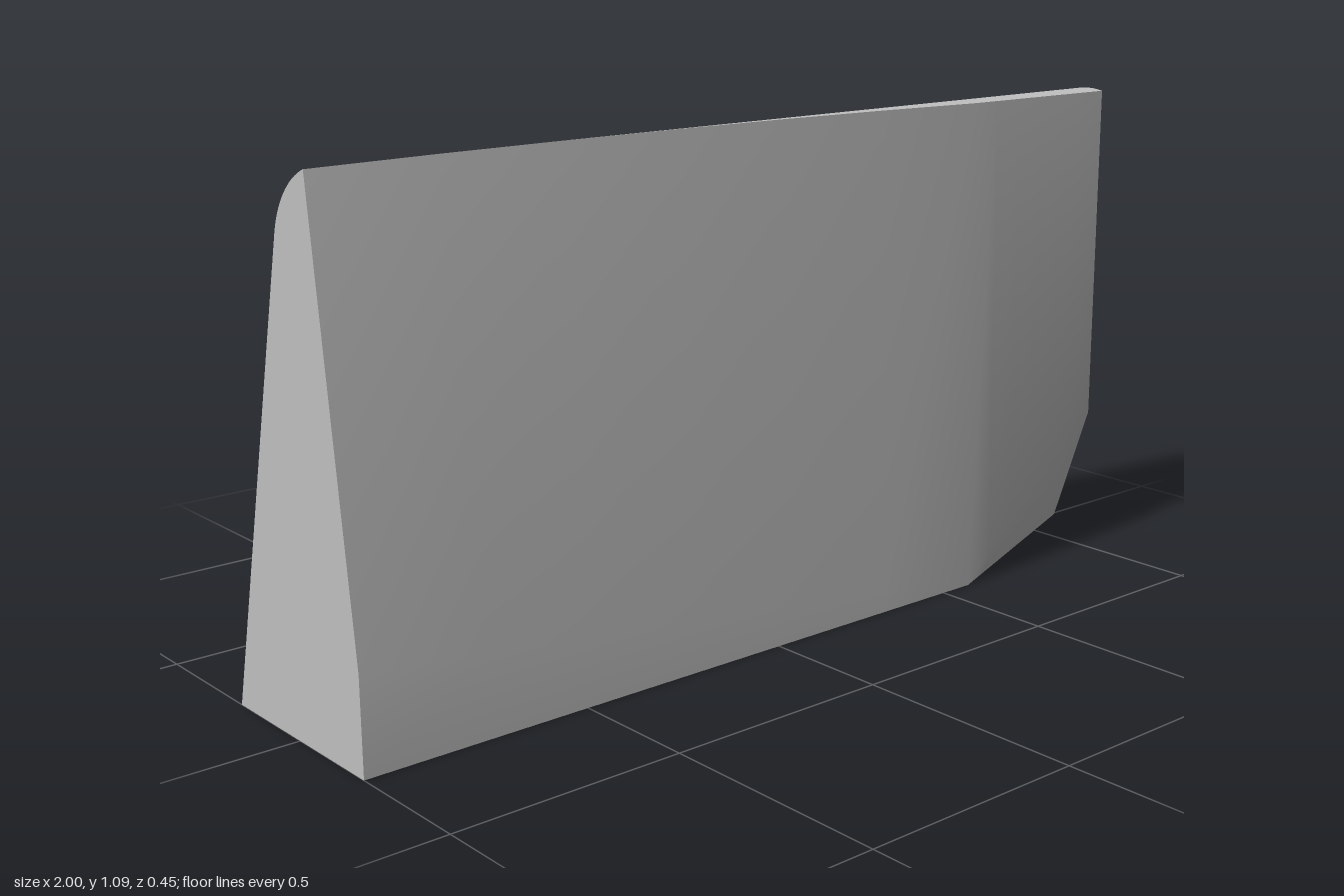
import * as THREE from 'three';
import { toCreasedNormals } from 'three/addons/utils/BufferGeometryUtils.js';

// Stations along x: back bottom, front top z, front knee and front bottom as [z, y]
const STATIONS = [
  { x: -1, back: [-0.225, 0], top: 0.11, knee: [0.222, 0.2], foot: [0.225, 0] },
  { x: 0.58, back: [-0.225, 0], top: 0.203, knee: [0.2248, 0.01], foot: [0.225, 0] },
  { x: 1, back: [-0.212, 0.056], top: 0.208, knee: [0.21, 0.33], foot: [0.12, 0.056] },
];
const ARC = { z: 0.17, y: 0.915, r: 0.175, steps: 20 };
const SPAN_STEPS = 6;

const lerp = THREE.MathUtils.lerp;
const mix = (p, q, t) => [lerp(p[0], q[0], t), lerp(p[1], q[1], t)];

// Cross-section: up the sloping back, over the rounded top, down the front
function section(a, b, t) {
  const x = lerp(a.x, b.x, t);
  const points = [mix(a.back, b.back, t)];
  const start = Math.PI - 0.235;
  const end = Math.acos((lerp(a.top, b.top, t) - ARC.z) / ARC.r);
  for (let i = 0; i <= ARC.steps; i++) {
    const angle = lerp(start, end, i / ARC.steps);
    points.push([ARC.z + ARC.r * Math.cos(angle), ARC.y + ARC.r * Math.sin(angle)]);
  }
  points.push(mix(a.knee, b.knee, t), mix(a.foot, b.foot, t));
  return points.map(([z, y]) => [x, y, z]);
}

function loft(rings) {
  const n = rings[0].length;
  const index = [];
  for (let s = 0; s < rings.length - 1; s++) {
    for (let i = 0; i < n; i++) {
      const j = (i + 1) % n;
      const a = s * n + i, b = s * n + j, c = b + n, d = a + n;
      index.push(a, b, d, b, c, d);
    }
  }
  // End caps
  const last = (rings.length - 1) * n;
  for (let i = 1; i < n - 1; i++) {
    index.push(0, i + 1, i, last, last + i, last + i + 1);
  }
  const geometry = new THREE.BufferGeometry();
  geometry.setAttribute('position', new THREE.Float32BufferAttribute(rings.flat(2), 3));
  geometry.setIndex(index);
  return toCreasedNormals(geometry, 0.7);
}

export function createModel() {
  const grey = new THREE.MeshStandardMaterial({ color: 0xc0c0c0 });
  grey.name = 'light grey';

  const rings = [section(STATIONS[0], STATIONS[1], 0)];
  for (let s = 0; s < STATIONS.length - 1; s++) {
    for (let k = 1; k <= SPAN_STEPS; k++) {
      rings.push(section(STATIONS[s], STATIONS[s + 1], k / SPAN_STEPS));
    }
  }

  const group = new THREE.Group();
  group.name = 'wedgeBlock';
  const body = new THREE.Mesh(loft(rings), grey);
  body.name = 'body';
  group.add(body);
  return group;
}
